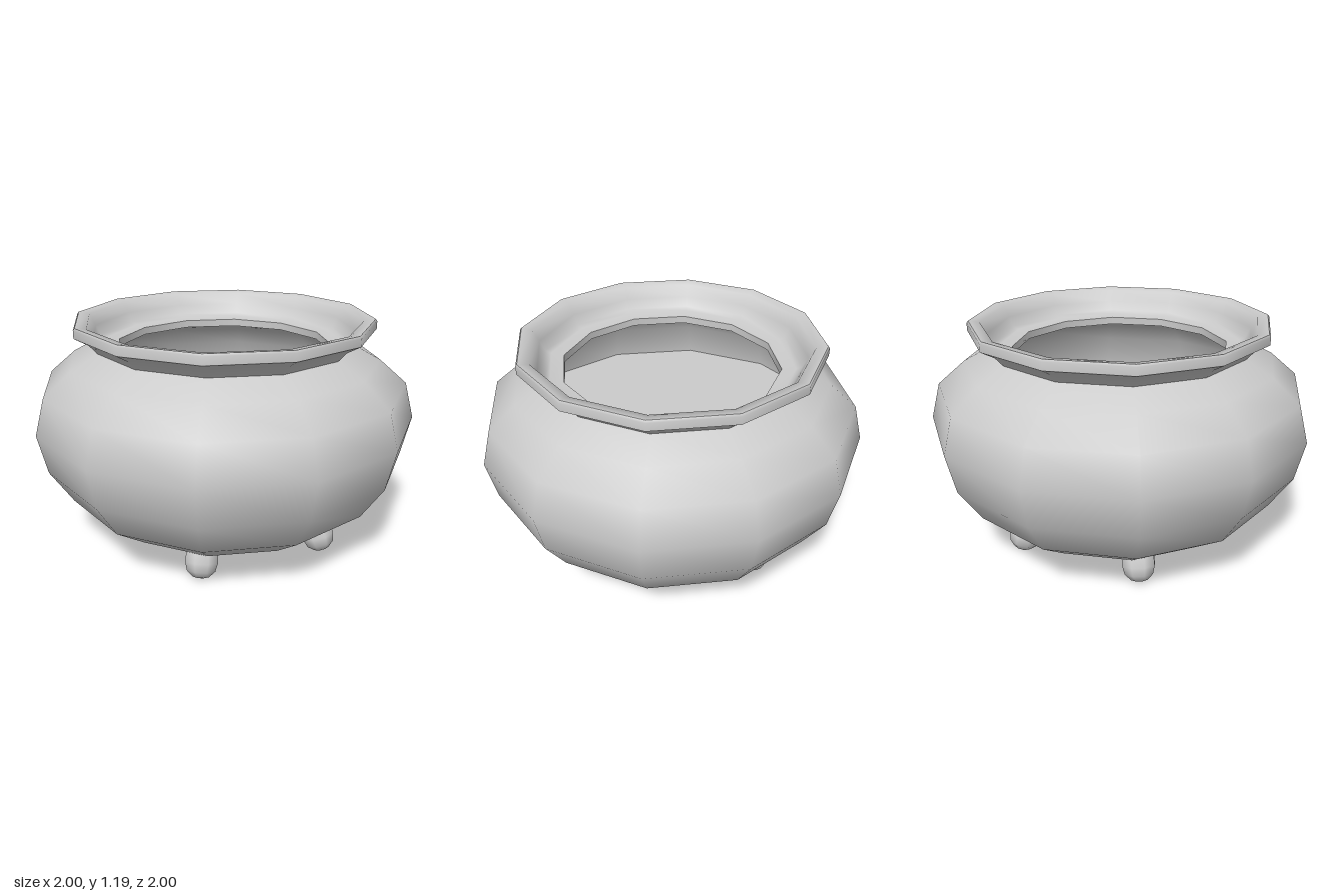
import * as THREE from 'three';

const material = new THREE.MeshStandardMaterial({ color: 0xcccccc });
const SIDES = 12;

// Turned part: outer walls run upward, inner walls run downward
function turned(name, points) {
  const profile = points.map(([r, y]) => new THREE.Vector2(r, y));
  const mesh = new THREE.Mesh(new THREE.LatheGeometry(profile, SIDES), material);
  mesh.name = name;
  return mesh;
}

// Stubby round-ended foot, splayed outward and sunk into the belly
function foot(x, z) {
  const r = 0.087;
  const profile = [[0, -r], [r * 0.5, -r * 0.87], [r * 0.87, -r * 0.5], [r, 0], [r * 0.94, 0.1], [0, 0.1]]
    .map(([px, py]) => new THREE.Vector2(px, py));
  const mesh = new THREE.Mesh(new THREE.LatheGeometry(profile, 8), material);
  mesh.position.set(x, r, z);
  const axis = new THREE.Vector3(-x * 0.6, 1, -z * 0.6).normalize();
  mesh.quaternion.setFromUnitVectors(new THREE.Vector3(0, 1, 0), axis);
  mesh.name = 'foot';
  return mesh;
}

export function createModel() {
  const group = new THREE.Group();
  group.name = 'cauldron';

  // Round belly, pinching in to the neck
  group.add(turned('belly', [
    [0, 0.045], [0.22, 0.045], [0.45, 0.08], [0.66, 0.16], [0.84, 0.29], [0.955, 0.47],
    [1, 0.675], [0.95, 0.86], [0.81, 0.98], [0.67, 1.055],
  ]));

  // Flared rim: underside, edge band, top lip and the step down to the mouth
  group.add(turned('rimFlare', [[0.67, 1.055], [0.71, 1.1], [0.78, 1.14]]));
  group.add(turned('rimEdge', [[0.78, 1.14], [0.78, 1.18], [0.772, 1.19]]));
  group.add(turned('rimTop', [[0.772, 1.19], [0.715, 1.18], [0.685, 1.12], [0.66, 1.07], [0.63, 1.055], [0.56, 1.05]]));
  group.add(turned('mouthEdge', [[0.56, 1.05], [0.56, 1.01]]));

  // Hollow inside and the flat surface of the contents
  group.add(turned('innerWall', [[0.56, 1.01], [0.67, 0.99], [0.78, 0.94], [0.89, 0.83], [0.92, 0.65]]));
  group.add(turned('contents', [[0.92, 0.65], [0, 0.65]]));

  // Four feet
  for (const sx of [-1, 1]) for (const sz of [-1, 1]) group.add(foot(sx * 0.33, sz * 0.49));

  return group;
}
